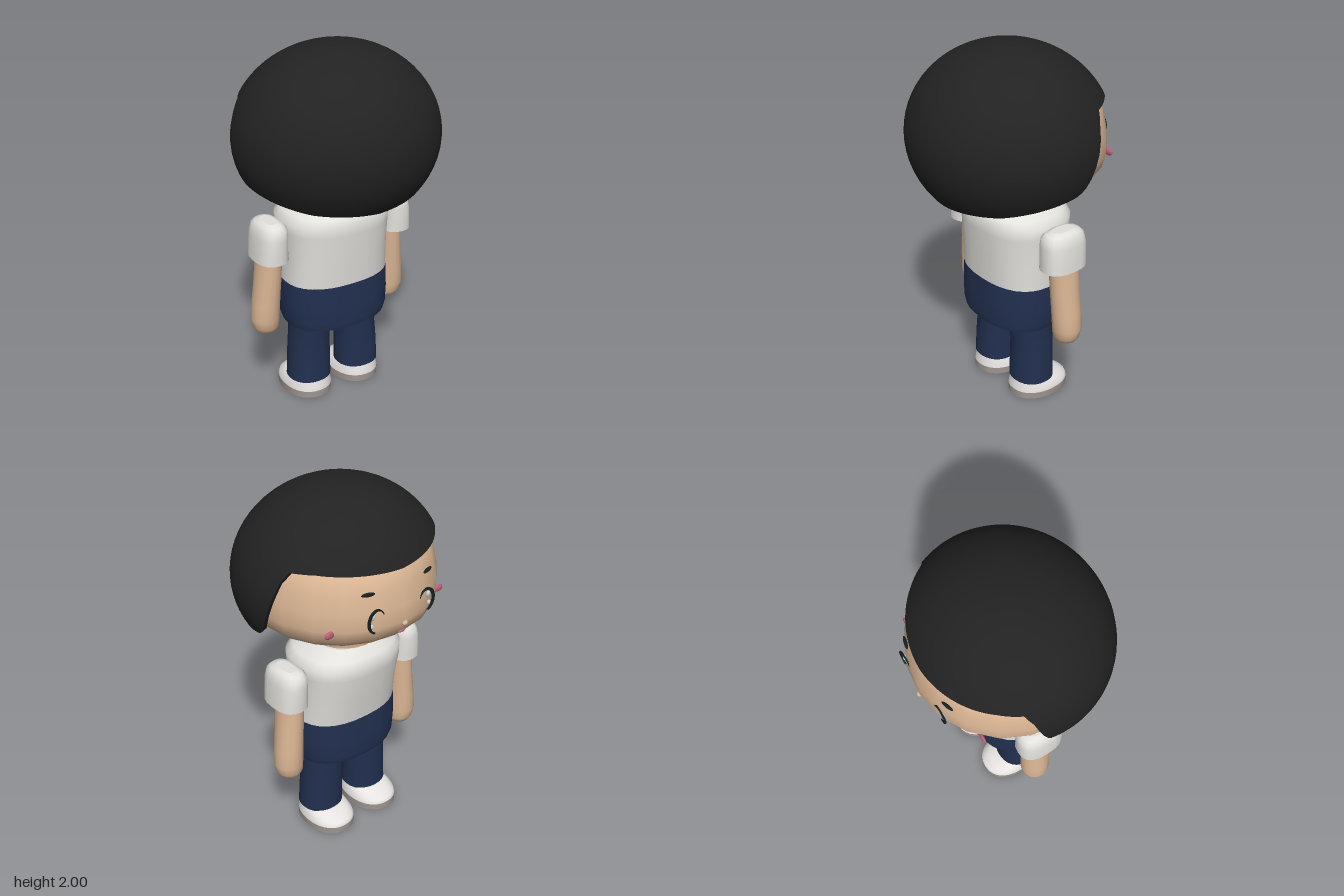
import * as THREE from 'three';

const mat = (name, color) => {
  const m = new THREE.MeshStandardMaterial({ color });
  m.name = name;
  return m;
};

// Closed solid from elliptical rings [y, cx, cz, rx, rz], listed bottom to top
function loft(rings, n = 24, power = 2) {
  const pos = [], idx = [];
  const round = (v) => Math.sign(v) * Math.abs(v) ** (2 / power);
  const addRing = ([y, cx, cz, rx, rz]) => {
    const start = pos.length / 3;
    for (let j = 0; j < n; j++) {
      const a = (j / n) * Math.PI * 2;
      pos.push(cx + rx * round(Math.cos(a)), y, cz + rz * round(Math.sin(a)));
    }
    return start;
  };
  const starts = rings.map(addRing);
  for (let i = 0; i + 1 < starts.length; i++) {
    for (let j = 0; j < n; j++) {
      const k = (j + 1) % n, a = starts[i], b = starts[i + 1];
      idx.push(a + j, b + j, a + k, b + j, b + k, a + k);
    }
  }
  // separate cap vertices keep the end edges sharp
  [rings[0], rings[rings.length - 1]].forEach((r, top) => {
    const s = addRing(r), c = pos.length / 3;
    pos.push(r[1], r[0], r[2]);
    for (let j = 0; j < n; j++) {
      const k = (j + 1) % n;
      if (top) idx.push(c, s + k, s + j);
      else idx.push(c, s + j, s + k);
    }
  });
  return finish(pos, idx);
}

function finish(pos, idx) {
  const g = new THREE.BufferGeometry();
  g.setAttribute('position', new THREE.Float32BufferAttribute(pos, 3));
  g.setIndex(idx);
  g.computeVertexNormals();
  return g;
}

// Height of the hair's cut edge at an angle (degrees) measured from the face
const EDGE = [[0, 1.715], [50, 1.735], [65, 1.73], [70, 1.67], [75, 1.54], [79, 1.44],
  [83, 1.365], [88, 1.335], [135, 1.25], [180, 1.22]];
function edgeHeight(deg) {
  const i = Math.max(1, EDGE.findIndex((e) => e[0] >= deg));
  const [a0, y0] = EDGE[i - 1], [a1, y1] = EDGE[i];
  return y0 + ((y1 - y0) * (deg - a0)) / (a1 - a0);
}

// Bowl-cut shell: outer surface, rim, then inner surface
function hairGeometry() {
  const n = 144, cy = 1.52, pos = [], idx = [], rows = [];
  for (let i = 0; i <= 24; i++) rows.push([i / 24, 1]);
  rows.push([1, 1], [1, 0.95]);
  for (let i = 12; i >= 0; i--) rows.push([i / 12, 0.95]);
  rows.forEach(([t, s], i) => {
    for (let j = 0; j < n; j++) {
      const deg = (j / n) * 360, a = (deg * Math.PI) / 180;
      const end = Math.acos((edgeHeight(deg > 180 ? 360 - deg : deg) - cy) / 0.48);
      const phi = t * end, r = Math.sin(phi) * s;
      pos.push(0.555 * r * Math.sin(a), cy + 0.48 * s * Math.cos(phi), -0.525 * r * Math.cos(a));
      if (i + 1 < rows.length) {
        const k = (j + 1) % n, p = i * n, q = p + n;
        idx.push(p + j, p + k, q + j, p + k, q + k, q + j);
      }
    }
  });
  return finish(pos, idx);
}

// Thin crescent lash: upper and outer part of an oval, mirrored by side
function lashGeometry(side) {
  const pts = [], steps = 24;
  const arc = (t, cx, cy, rx, ry) => {
    const a = THREE.MathUtils.degToRad(-75 + 230 * t);
    pts.push(new THREE.Vector2(side * (cx + rx * Math.cos(a)), cy + ry * Math.sin(a)));
  };
  for (let i = 0; i <= steps; i++) arc(i / steps, 0, 0, 0.052, 0.066);
  for (let i = steps; i >= 0; i--) arc(i / steps, -0.006, -0.003, 0.043, 0.058);
  return new THREE.ExtrudeGeometry(new THREE.Shape(pts), { depth: 0.008, bevelEnabled: false });
}

export function createModel() {
  const model = new THREE.Group();
  model.name = 'child';
  const skin = mat('skin', 0xdcb795), black = mat('hair black', 0x222222);
  const white = mat('shirt white', 0xe2e1dc), navy = mat('navy cloth', 0x223050);
  const shoeWhite = mat('shoe white', 0xe8e4e4), soleGrey = mat('sole grey', 0xa0968f);
  const pink = mat('blush pink', 0xc0607a), ink = mat('eye ink', 0x182020);
  const glint = mat('eye glint', 0xc4d4da);

  const add = (name, geo, material, x = 0, y = 0, z = 0) => {
    const m = new THREE.Mesh(geo, material);
    m.name = name;
    m.position.set(x, y, z);
    model.add(m);
    return m;
  };
  const blob = (name, material, x, y, z, rx, ry, rz) => {
    const m = add(name, new THREE.SphereGeometry(1, 16, 10), material, x, y, z);
    m.scale.set(rx, ry, rz);
    return m;
  };

  // Head and neck
  add('head', loft([
    [1.12, 0, -0.05, 0.175, 0.175], [1.18, 0, -0.05, 0.18, 0.18], [1.235, 0, -0.045, 0.2, 0.195],
    [1.262, 0, -0.03, 0.27, 0.26], [1.29, 0, -0.015, 0.37, 0.36], [1.325, 0, -0.01, 0.435, 0.43],
    [1.375, 0, -0.01, 0.482, 0.482], [1.44, 0, -0.01, 0.5, 0.503], [1.53, 0, -0.01, 0.5, 0.495],
    [1.62, 0, -0.01, 0.482, 0.478], [1.72, 0, -0.005, 0.455, 0.455], [1.82, 0, 0, 0.36, 0.35],
    [1.92, 0, 0, 0.18, 0.18],
  ], 20), skin);
  add('hair', hairGeometry(), black);

  // Face
  blob('nose', skin, 0, 1.43, -0.51, 0.016, 0.014, 0.014);
  blob('mouth', pink, 0, 1.378, -0.488, 0.026, 0.01, 0.012);
  for (const s of [1, -1]) {
    add('eyeLash', lashGeometry(s), ink, s * 0.163, 1.488, -0.49);
    blob('eyeGlintUpper', glint, s * 0.178, 1.512, -0.479, 0.013, 0.016, 0.008);
    blob('eyeGlintLower', glint, s * 0.185, 1.462, -0.479, 0.01, 0.013, 0.008);
    blob('eyebrow', ink, s * 0.19, 1.63, -0.455, 0.036, 0.011, 0.009).rotation.y = s * -0.3;
    blob('cheek', pink, s * 0.355, 1.43, -0.37, 0.03, 0.02, 0.01);
  }

  // Shirt and shorts
  add('shirt', loft([
    [0.72, 0, -0.03, 0.3, 0.215], [0.9, 0, -0.038, 0.298, 0.235], [1.02, 0, -0.045, 0.306, 0.25],
    [1.08, 0, -0.045, 0.308, 0.252], [1.115, 0, -0.045, 0.27, 0.23], [1.163, 0, -0.047, 0.185, 0.178],
  ], 32, 2.4), white);
  add('shorts', loft([
    [0.462, 0, -0.028, 0.288, 0.212], [0.5, 0, -0.03, 0.3, 0.222], [0.6, 0, -0.031, 0.307, 0.222],
    [0.722, 0, -0.031, 0.302, 0.217],
  ], 32, 2.4), navy);

  for (const s of [1, -1]) {
    // Sleeve and arm with rounded hand
    add('sleeve', loft([
      [0.885, s * 0.386, -0.05, 0.09, 0.13], [0.93, s * 0.386, -0.05, 0.087, 0.13],
      [1.02, s * 0.382, -0.05, 0.084, 0.13], [1.065, s * 0.378, -0.05, 0.076, 0.122],
      [1.085, s * 0.378, -0.05, 0.058, 0.1], [1.096, s * 0.378, -0.05, 0.035, 0.065],
    ], 20, 2.5), white);
    add('arm', loft([
      [0.418, s * 0.393, -0.078, 0.03, 0.03], [0.432, s * 0.395, -0.078, 0.056, 0.054],
      [0.46, s * 0.398, -0.077, 0.073, 0.07], [0.51, s * 0.402, -0.076, 0.079, 0.079],
      [0.6, s * 0.397, -0.073, 0.077, 0.082], [0.75, s * 0.385, -0.068, 0.073, 0.084],
      [0.92, s * 0.375, -0.063, 0.07, 0.086],
    ], 16), skin);

    // Trouser leg
    add('leg', loft([
      [0.095, s * 0.156, -0.038, 0.122, 0.117], [0.12, s * 0.156, -0.038, 0.121, 0.116],
      [0.23, s * 0.154, -0.04, 0.118, 0.114], [0.34, s * 0.15, -0.043, 0.113, 0.113],
      [0.4, s * 0.148, -0.037, 0.112, 0.12], [0.5, s * 0.147, -0.035, 0.113, 0.12],
    ], 24, 2.2), navy);

    // Shoe
    add('shoeSole', loft([
      [0, s * 0.155, -0.085, 0.134, 0.174], [0.038, s * 0.155, -0.085, 0.135, 0.174],
    ], 28, 2.2), soleGrey);
    add('shoeUpper', loft([
      [0.038, s * 0.155, -0.085, 0.134, 0.173], [0.06, s * 0.155, -0.083, 0.13, 0.168],
      [0.082, s * 0.155, -0.066, 0.12, 0.145], [0.1, s * 0.155, -0.042, 0.11, 0.118],
    ], 28, 2.2), shoeWhite);
  }
  return model;
}
